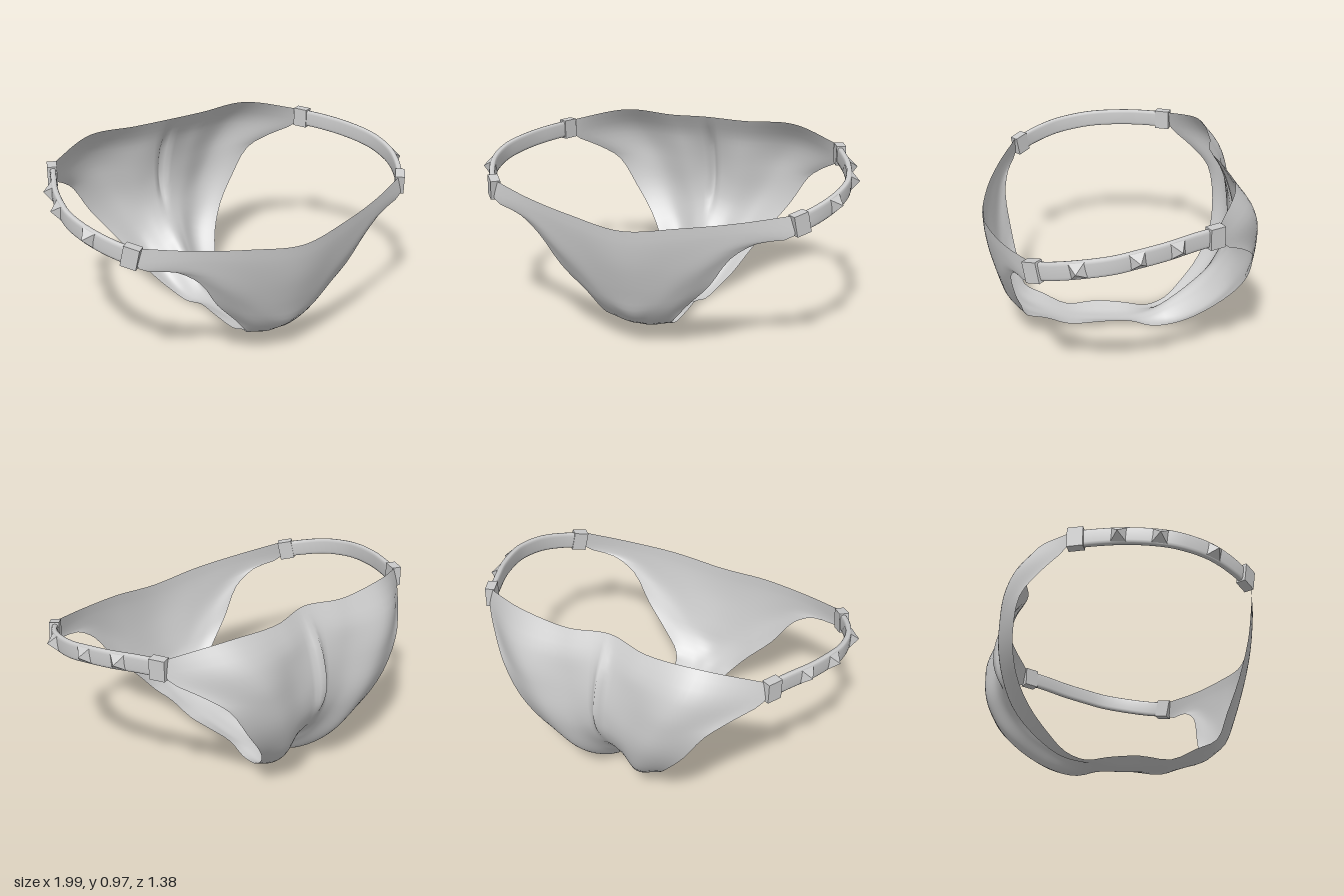
import * as THREE from 'three';

const V = (p) => new THREE.Vector3(...p);
const material = new THREE.MeshStandardMaterial({ color: 0xcccccc, side: THREE.DoubleSide });

// Smooth surface through a grid of points
function gridGeometry(rows) {
  const n = rows[0].length, index = [];
  for (let i = 0; i < rows.length - 1; i++) {
    for (let j = 0; j < n - 1; j++) {
      const a = i * n + j, b = a + 1, c = a + n, d = c + 1;
      index.push(a, b, c, b, d, c);
    }
  }
  const g = new THREE.BufferGeometry().setFromPoints(rows.flat());
  g.setIndex(index);
  g.computeVertexNormals();
  return g;
}

function addMesh(parent, name, geometry) {
  const mesh = new THREE.Mesh(geometry, material);
  mesh.name = name;
  parent.add(mesh);
  return mesh;
}

// Half cross-sections, centre to edge
const frontSections = [
  [[0, .68, .69], [.28, .715, .655], [.55, .75, .58], [.8, .79, .48]],
  [[0, .6, .685], [.28, .64, .65], [.55, .685, .58], [.8, .69, .49]],
  [[0, .5, .67], [.24, .53, .64], [.45, .59, .6], [.63, .645, .54]],
  [[0, .4, .645], [.2, .43, .625], [.37, .49, .6], [.51, .56, .56]],
  [[0, .3, .615], [.16, .32, .6], [.28, .36, .575], [.4, .4, .54]],
  [[0, .2, .58], [.1, .22, .57], [.2, .24, .545], [.27, .26, .51]],
  [[0, .13, .5], [.06, .13, .5], [.12, .14, .49], [.18, .15, .48]],
  [[0, .07, .38], [.05, .075, .38], [.1, .09, .38], [.14, .105, .38]],
];
const baseSections = [
  [[0, .035, .25], [.04, .036, .25], [.08, .04, .25], [.115, .045, .25]],
  [[0, .02, .1], [.04, .022, .1], [.08, .035, .09], [.12, .05, .08]],
  [[0, .01, -.08], [.04, .012, -.08], [.07, .02, -.08], [.105, .035, -.08]],
  [[0, .03, -.2], [.04, .02, -.2], [.08, .007, -.2], [.12, .005, -.2]],
];
const backSections = [
  [[0, .09, -.3], [.04, .07, -.31], [.1, .025, -.33], [.15, .03, -.31]],
  [[0, .21, -.45], [.06, .18, -.47], [.14, .12, -.48], [.21, .1, -.41]],
  [[0, .33, -.57], [.08, .3, -.57], [.18, .24, -.59], [.28, .21, -.52]],
  [[0, .45, -.63], [.1, .42, -.63], [.24, .37, -.65], [.37, .34, -.6]],
  [[0, .55, -.645], [.14, .52, -.65], [.3, .5, -.685], [.48, .49, -.635]],
  [[0, .65, -.64], [.16, .63, -.645], [.36, .63, -.69], [.58, .65, -.62]],
  [[0, .77, -.61], [.18, .75, -.63], [.42, .74, -.68], [.68, .735, -.54]],
  [[0, .87, -.57], [.2, .85, -.61], [.48, .85, -.635], [.79, .82, -.43]],
  [[0, .975, -.51], [.22, .96, -.55], [.5, .97, -.54], [.8, .91, -.4]],
];

// One continuous panel: front, base and back
function panelGeometry() {
  const ACROSS = 48, STEPS = 3;
  const sections = [...frontSections, ...baseSections, ...backSections].map((half) => {
    const mirrored = half.slice(1).map(([x, y, z]) => [-x, y, z]);
    const full = [...half.slice().reverse(), ...mirrored].map(V);
    const curve = new THREE.CatmullRomCurve3(full);
    return Array.from({ length: ACROSS + 1 }, (_, k) => curve.getPoint(k / ACROSS));
  });
  const down = (sections.length - 1) * STEPS;
  const columns = sections[0].map((_, k) => new THREE.CatmullRomCurve3(sections.map((s) => s[k])));
  const rows = Array.from({ length: down + 1 }, (_, i) => columns.map((c) => c.getPoint(i / down)));
  // Narrow raised seam down the middle of the back
  for (const p of rows.flat()) {
    if (p.z < 0) {
      const fade = THREE.MathUtils.smoothstep(p.y, .35, .6) * (1 - THREE.MathUtils.smoothstep(p.y, .75, .97));
      p.z -= .04 * fade * Math.max(0, 1 - Math.abs(p.x) / .035);
    }
  }
  return gridGeometry(rows);
}

// Side strap centre line, front to back
const strapPath = [
  [.79, .738, .485], [.865, .765, .39], [.93, .8, .25], [.952, .825, .1],
  [.94, .84, 0], [.9, .855, -.15], [.845, .865, -.28], [.785, .868, -.415],
];

// Position and local axes (along, up, outward) on a strap
function frameAt(curve, t) {
  const p = curve.getPointAt(t), along = curve.getTangentAt(t);
  const out = along.clone().cross(V([0, 1, 0])).normalize();
  const up = out.clone().cross(along);
  return { p, along, up, out };
}

function strapGeometry(curve) {
  const rows = [];
  for (let i = 0; i <= 28; i++) {
    const { p, up, out } = frameAt(curve, i / 28);
    const ring = [];
    for (let j = 0; j <= 16; j++) {
      const a = (j % 16) / 16 * Math.PI * 2, c = Math.cos(a), s = Math.sin(a);
      ring.push(p.clone()
        .addScaledVector(up, .045 * Math.sign(c) * Math.sqrt(Math.abs(c)))
        .addScaledVector(out, .016 * Math.sign(s) * Math.sqrt(Math.abs(s))));
    }
    rows.push(ring);
  }
  return gridGeometry(rows);
}

// Place a part on the strap at depth z
function placeOnStrap(mesh, curve, z, offset) {
  let best = 0, gap = Infinity;
  for (let i = 0; i <= 200; i++) {
    const d = Math.abs(curve.getPointAt(i / 200).z - z);
    if (d < gap) { gap = d; best = i / 200; }
  }
  const { p, along, up, out } = frameAt(curve, best);
  mesh.quaternion.setFromRotationMatrix(new THREE.Matrix4().makeBasis(along, up, out));
  mesh.position.copy(p).addScaledVector(out, offset);
}

export function createModel() {
  const model = new THREE.Group();
  model.name = 'brief';
  addMesh(model, 'panel', panelGeometry());

  // Square pyramid pointing along +z
  const studGeometry = new THREE.ConeGeometry(.055, .045, 4).toNonIndexed();
  studGeometry.rotateY(Math.PI / 4).rotateX(Math.PI / 2);
  studGeometry.computeVertexNormals();
  const claspGeometry = new THREE.BoxGeometry(.08, .105, .05);

  for (const [side, s] of [['left', 1], ['right', -1]]) {
    const group = new THREE.Group();
    group.name = side + 'Strap';
    model.add(group);
    // The path is reversed on the right so that its outward axis stays outward
    const points = strapPath.map(([x, y, z]) => V([s * x, y, z]));
    if (s < 0) points.reverse();
    const curve = new THREE.CatmullRomCurve3(points);
    addMesh(group, side + 'StrapBand', strapGeometry(curve));
    for (const z of [.455, -.385]) {
      placeOnStrap(addMesh(group, side + 'Clasp', claspGeometry), curve, z, .004);
    }
    for (const z of [.26, 0, -.19]) {
      placeOnStrap(addMesh(group, side + 'Stud', studGeometry), curve, z, .034);
    }
  }
  return model;
}
